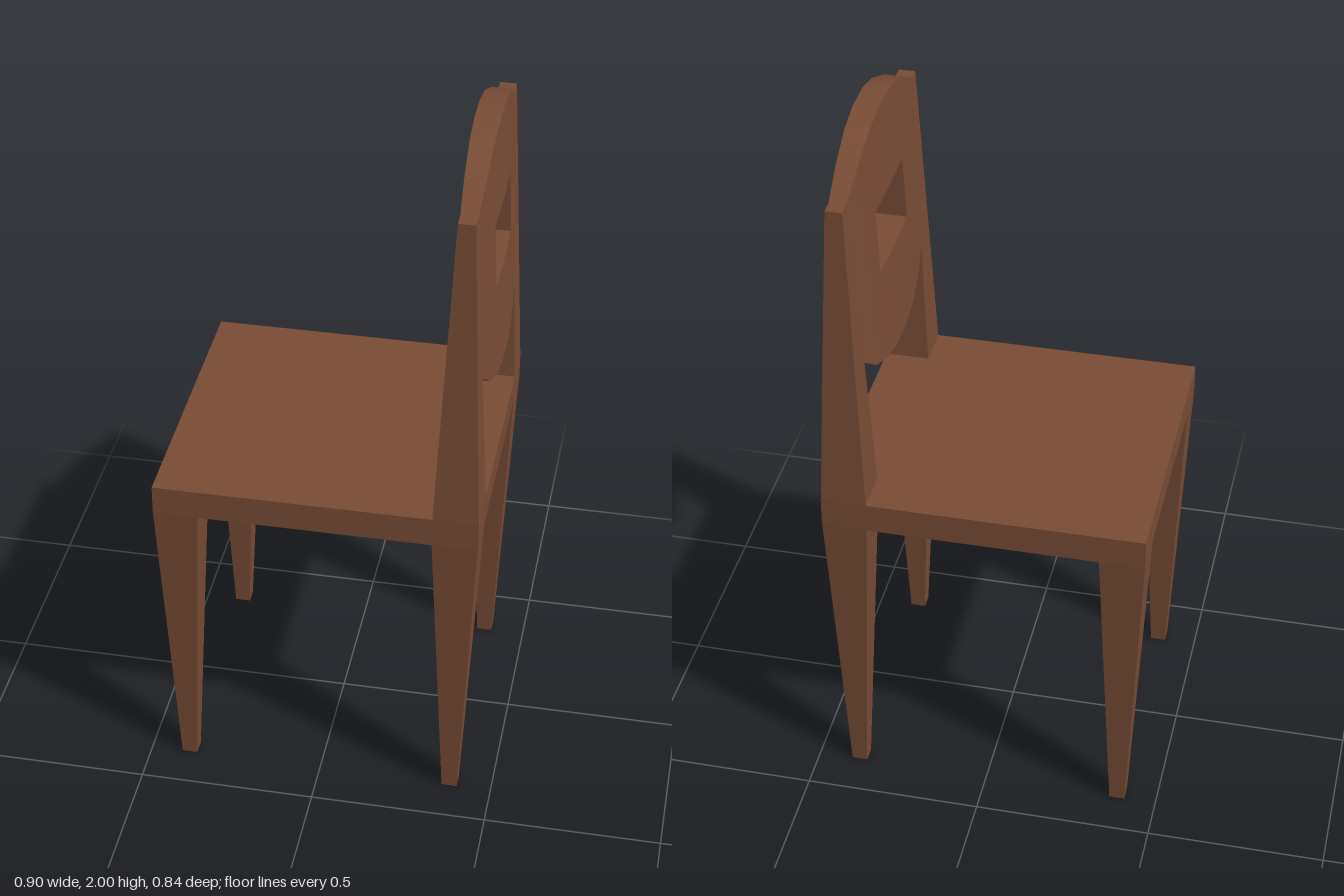
import * as THREE from 'three';
import { toCreasedNormals } from 'three/addons/utils/BufferGeometryUtils.js';

const wood = new THREE.MeshStandardMaterial({ color: 0x7a4d36 });
wood.name = 'brown wood';

const BACK_X = 0.38; // centre line of the back legs, posts and back panel
const LEG_Z = 0.36;

function addMesh(group, name, geometry, x = 0, y = 0, z = 0) {
  const mesh = new THREE.Mesh(geometry, wood);
  mesh.name = name;
  mesh.position.set(x, y, z);
  group.add(mesh);
}

// Square bar from y0 to y1 with different widths at its two ends
function taperedBar(y0, y1, bottom, top) {
  const g = new THREE.BoxGeometry(1, y1 - y0, 1).toNonIndexed();
  g.translate(0, (y0 + y1) / 2, 0);
  const p = g.attributes.position;
  for (let i = 0; i < p.count; i++) {
    const w = p.getY(i) < (y0 + y1) / 2 ? bottom : top;
    p.setXYZ(i, p.getX(i) * w, p.getY(i), p.getZ(i) * w);
  }
  g.computeVertexNormals();
  return g;
}

// Panel that thins with height like the posts and swells towards its middle
function backPanel() {
  // outlines as [y, z], from the -z post to the +z post
  const mirror = (half) => [...half.map(([y, z]) => [y, -z]), ...half.slice().reverse()];
  const top = mirror([[1.88, 0.34], [1.935, 0.245], [1.98, 0.142], [2.0, 0.05]]);
  const low = mirror([[1.385, 0.318], [1.32, 0.23], [1.287, 0.142], [1.271, 0.05]]);
  const holeLow = low.map(([, z]) => [1.56, z]);
  const holeTop = low.map(([, z]) => [1.745, z]);
  const pos = [];

  const point = (side, [y, z]) => {
    const half = 0.0625 - 0.0441 * (y - 0.985) + 0.0165 * (1 - (z / 0.34) ** 2);
    return [side * half, y, z];
  };
  const quad = (a, b, c, d) => pos.push(...a, ...b, ...c, ...a, ...c, ...d);
  // surface across the thickness
  const edge = (p, q) => quad(point(-1, p), point(1, p), point(1, q), point(-1, q));
  // both broad faces of one column
  const faces = (lower, upper, i) => {
    const c = [lower[i], upper[i], upper[i + 1], lower[i + 1]];
    quad(...c.map((p) => point(1, p)));
    quad(...c.reverse().map((p) => point(-1, p)));
  };

  for (let i = 0; i < 7; i++) {
    edge(top[i + 1], top[i]);
    edge(low[i], low[i + 1]);
    if (i >= 2 && i <= 4) {
      faces(low, holeLow, i);
      faces(holeTop, top, i);
      edge(holeLow[i + 1], holeLow[i]);
      edge(holeTop[i], holeTop[i + 1]);
    } else {
      faces(low, top, i);
    }
  }
  // sides of the hand hole
  edge(holeLow[2], holeTop[2]);
  edge(holeTop[5], holeLow[5]);

  const g = new THREE.BufferGeometry();
  g.setAttribute('position', new THREE.Float32BufferAttribute(pos, 3));
  g.computeVertexNormals();
  return toCreasedNormals(g, 0.5);
}

export function createModel() {
  const chair = new THREE.Group();
  chair.name = 'chair';

  addMesh(chair, 'seat', new THREE.BoxGeometry(0.893, 0.085, 0.836), -0.0035, 0.9425, 0);

  // Legs and back posts, mirrored across z
  for (const s of [-1, 1]) {
    addMesh(chair, 'frontLeg', taperedBar(0, 0.9, 0.044, 0.125), -0.3875, 0, s * 0.3555);
    addMesh(chair, 'backLeg', taperedBar(0, 0.9, 0.044, 0.125), BACK_X, 0, s * 0.3555);
    addMesh(chair, 'backPost', taperedBar(0.985, 1.88, 0.125, 0.046), BACK_X, 0, s * LEG_Z * 0.9875);
  }

  addMesh(chair, 'backPanel', backPanel(), BACK_X, 0, 0);
  return chair;
}
